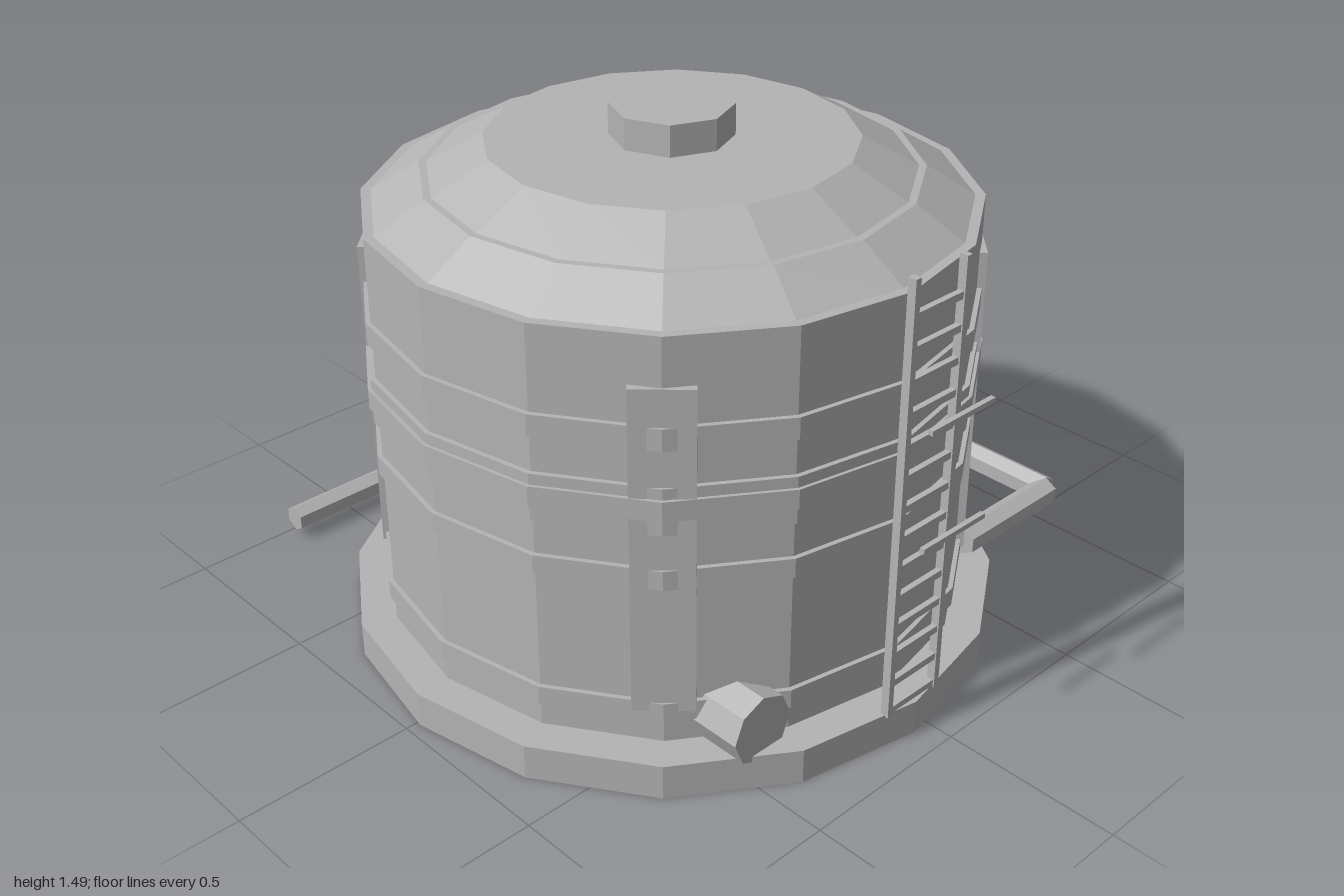
import * as THREE from 'three';

export function createModel() {
  const model = new THREE.Group();
  const steel = new THREE.MeshStandardMaterial({ color: 0xb4b4b4, flatShading: true });
  steel.name = 'grey steel';
  const CX = -0.055, CZ = 0.012;

  function add(name, geometry, x = 0, y = 0, z = 0, parent = model) {
    const mesh = new THREE.Mesh(geometry, steel);
    mesh.name = name;
    mesh.position.set(x, y, z);
    parent.add(mesh);
    return mesh;
  }
  const box = (name, w, h, d, x, y, z, parent) =>
    add(name, new THREE.BoxGeometry(w, h, d), x, y, z, parent);

  // Everything centred on the tank axis goes in this group
  const tank = new THREE.Group();
  tank.name = 'tank';
  tank.position.set(CX, 0, CZ);
  model.add(tank);
  const drum = (name, r, y0, y1, sides = 16) =>
    add(name, new THREE.CylinderGeometry(r, r, y1 - y0, sides), 0, (y0 + y1) / 2, 0, tank);

  drum('base', 0.91, 0, 0.1);
  drum('body', 0.812, 0.1, 1.24);
  drum('hatch', 0.163, 1.39, 1.485, 8);

  // Stepped roof
  const roofProfile = [[0.785, 1.235], [0.785, 1.24], [0.655, 1.32], [0.635, 1.32], [0.487, 1.4], [0, 1.4]]
    .map(([r, y]) => new THREE.Vector2(r, y));
  add('roof', new THREE.LatheGeometry(roofProfile, 16), 0, 0, 0, tank);

  // Reinforcing bands
  [[0.17, 0.225, 0.825], [0.565, 0.62, 0.825], [0.72, 0.85, 0.825], [0.765, 0.82, 0.834], [0.95, 1.01, 0.825]]
    .forEach(([y0, y1, r]) => drum('band', r, y0, y1));

  // Four vertical plates on the diagonals
  for (let i = 0; i < 4; i++) {
    const a = Math.PI / 4 + i * Math.PI / 2;
    const plate = box('verticalPlate', 0.16, 0.91, 0.04, Math.sin(a) * 0.798, 0.655, Math.cos(a) * 0.798, tank);
    plate.rotation.y = a;
  }

  // Ladder with two guard bars in front
  const ladder = new THREE.Group();
  ladder.name = 'ladder';
  model.add(ladder);
  for (const s of [-1, 1]) box('ladderRail', 0.018, 1.24, 0.024, CX + s * 0.091, 0.715, 0.9, ladder);
  for (let i = 0; i < 14; i++) box('ladderRung', 0.17, 0.02, 0.016, CX, 0.108 + i * 0.0866, 0.9, ladder);
  for (const y of [0.655, 0.98]) box('guardBar', 0.23, 0.014, 0.014, CX, y, 0.993, ladder);

  // Straight hexagonal pipe along one axis, from its start by a signed length
  function pipe(name, axis, length, r, x, y, z) {
    const g = new THREE.CylinderGeometry(r, r, Math.abs(length), 6);
    if (axis !== 'y') g.rotateX(Math.PI / 2);
    if (axis === 'x') g.rotateY(Math.PI / 2);
    add(name, g, x, y, z).position[axis] += length / 2;
  }

  // Outlet pipe with valve wheel
  pipe('outletPipe', 'x', 0.39, 0.043, 0.53, 0.166, 0.598);
  pipe('outletPipe', 'z', -0.418, 0.043, 0.922, 0.166, 0.598);
  pipe('outletRiser', 'y', 0.324, 0.043, 0.922, 0.166, 0.18);
  const wheel = new THREE.CylinderGeometry(0.082, 0.082, 0.028, 8).rotateZ(Math.PI / 2);
  add('valveWheel', wheel, 0.921, 0.33, 0.178);

  // Drain pipe at the back
  pipe('drainPipe', 'z', -0.2, 0.039, CX, 0.2, -0.755);
  pipe('drainDrop', 'y', -0.14, 0.04, CX, 0.2, -0.957);
  pipe('drainPipe', 'x', -0.65, 0.039, CX, 0.06, -0.963);

  // Round access port at the front
  const port = new THREE.CylinderGeometry(0.097, 0.097, 0.2, 8).rotateX(Math.PI / 2);
  add('accessPort', port, -0.476, 0.165, 0.68);

  return model;
}
